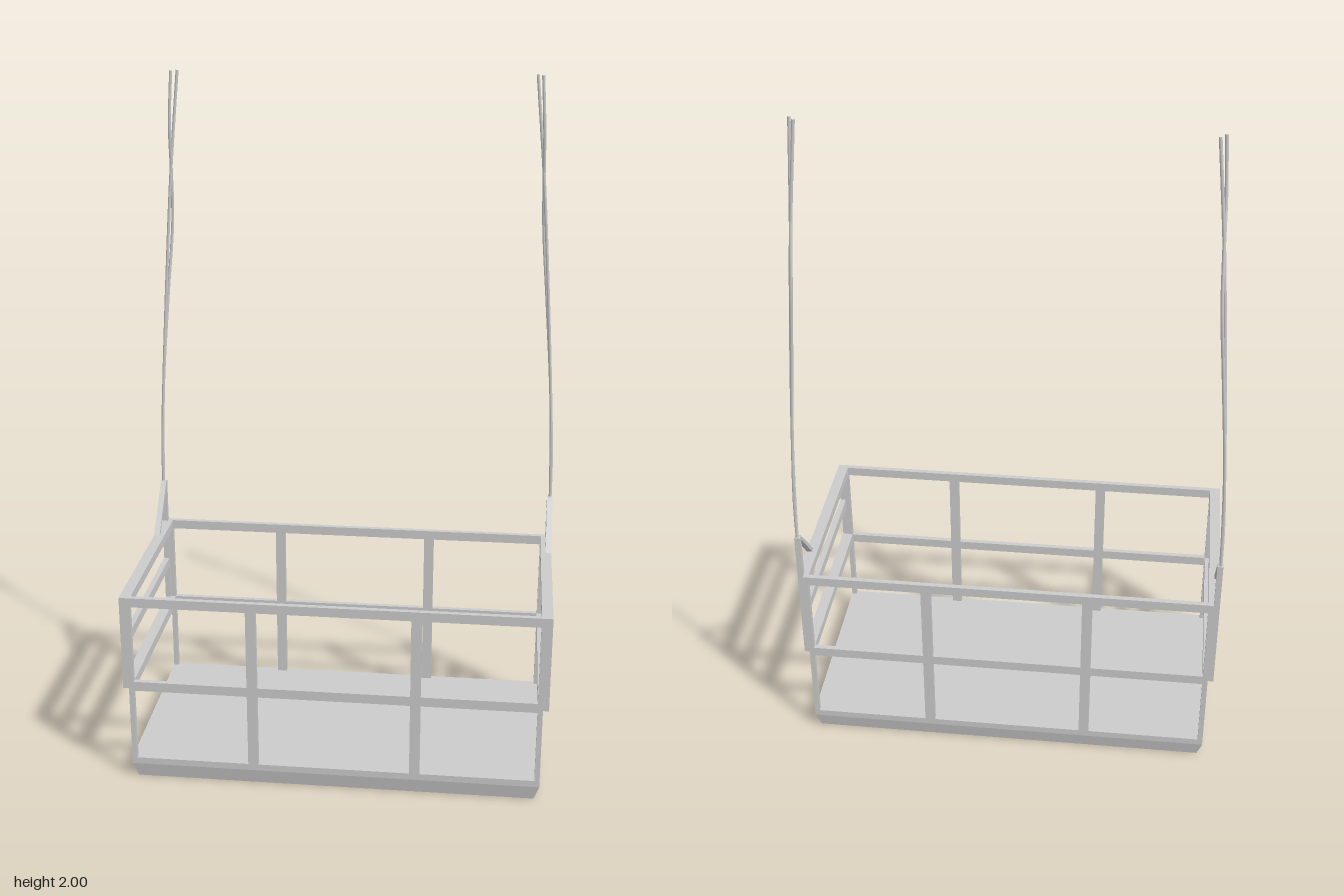
import * as THREE from 'three';

const material = new THREE.MeshStandardMaterial({ color: 0xcccccc });

export function createModel() {
  const model = new THREE.Group();

  const add = (name, geometry) => {
    const mesh = new THREE.Mesh(geometry, material);
    mesh.name = name;
    model.add(mesh);
    return mesh;
  };
  // Box given by its limits on each axis
  const bar = (name, [x0, x1], [y0, y1], [z0, z1]) => {
    const mesh = add(name, new THREE.BoxGeometry(Math.abs(x1 - x0), y1 - y0, z1 - z0));
    mesh.position.set((x0 + x1) / 2, (y0 + y1) / 2, (z0 + z1) / 2);
    return mesh;
  };

  const W = 0.6, T = 0.015, BACK = -0.29, FRONT = 0.305;
  const topRail = [0.557, 0.585], midRail = [0.288, 0.317];

  // Floor slab, with its lower half drawn in towards the bottom
  bar('floor', [-W, W], [0.045, 0.065], [BACK, FRONT]);
  const lower = bar('floorUnderside', [-W, W], [0, 0.045], [BACK, FRONT]);
  const p = lower.geometry.attributes.position;
  for (let i = 0; i < p.count; i++) {
    if (p.getY(i) > 0) continue;
    p.setX(i, p.getX(i) - Math.sign(p.getX(i)) * 0.015);
    p.setZ(i, p.getZ(i) - Math.sign(p.getZ(i)) * 0.01);
  }
  lower.geometry.computeVertexNormals();

  // Front and back railings
  for (const [label, z] of [['front', [FRONT - T, FRONT]], ['back', [BACK, BACK + T]]]) {
    bar(label + 'TopRail', [-W, W], topRail, z);
    bar(label + 'MiddleRail', [-W + T, W - T], midRail, z);
    for (const s of [-1, 1]) {
      bar(label + 'CornerPost', [s * (W - T), s * W], [0.065, 0.557], z);
      bar(label + 'MiddlePost', [s * 0.222, s * 0.252], [0.065, 0.557], z);
    }
  }

  for (const s of [-1, 1]) {
    const side = s > 0 ? 'left' : 'right';
    const inner = [s * (W - T), s * W], outer = [s * W, s * 0.617];

    // Inner side rails
    bar(side + 'InnerTopRail', inner, topRail, [BACK + T, FRONT - T]);
    bar(side + 'InnerMiddleRail', inner, midRail, [BACK + T, FRONT - T]);

    // Outer side panel
    for (const y of [topRail, [0.425, 0.455], [0.295, 0.317]])
      bar(side + 'PanelRail', outer, y, [-0.27, FRONT - 0.012]);
    bar(side + 'PanelFrontPost', outer, [0.295, 0.585], [FRONT - 0.012, FRONT]);
    bar(side + 'HangerPost', outer, [0.295, 0.72], [-0.283, -0.268]);

    // Diagonal brace from the top rail to the hanger post
    const brace = new THREE.Shape([
      [0.147, 0.583], [0.163, 0.583], [0.27, 0.708], [0.27, 0.722],
    ].map(([a, b]) => new THREE.Vector2(a, b)));
    const mesh = add(side + 'Brace', new THREE.ExtrudeGeometry(brace, { depth: 0.017, bevelEnabled: false }));
    mesh.rotation.y = Math.PI / 2;
    mesh.position.x = s > 0 ? 0.6 : -0.617;

    // Pair of suspension cables, one straight and one wavy in depth
    const cables = {
      StraightCable: [[0.61, 0.71, -0.275], [0.608, 0.85, -0.276], [0.597, 1.05, -0.278],
        [0.577, 1.35, -0.28], [0.55, 1.7, -0.28], [0.52, 2, -0.28]],
      WavyCable: [[0.61, 0.71, -0.275], [0.606, 0.85, -0.276], [0.597, 1.05, -0.278],
        [0.574, 1.33, -0.29], [0.555, 1.55, -0.303], [0.549, 1.7, -0.284],
        [0.545, 1.84, -0.262], [0.535, 2, -0.261]],
    };
    for (const [name, points] of Object.entries(cables)) {
      const curve = new THREE.CatmullRomCurve3(points.map(([x, y, z]) => new THREE.Vector3(s * x, y, z)));
      add(side + name, new THREE.TubeGeometry(curve, 40, 0.0045, 8));
    }
  }

  return model;
}
